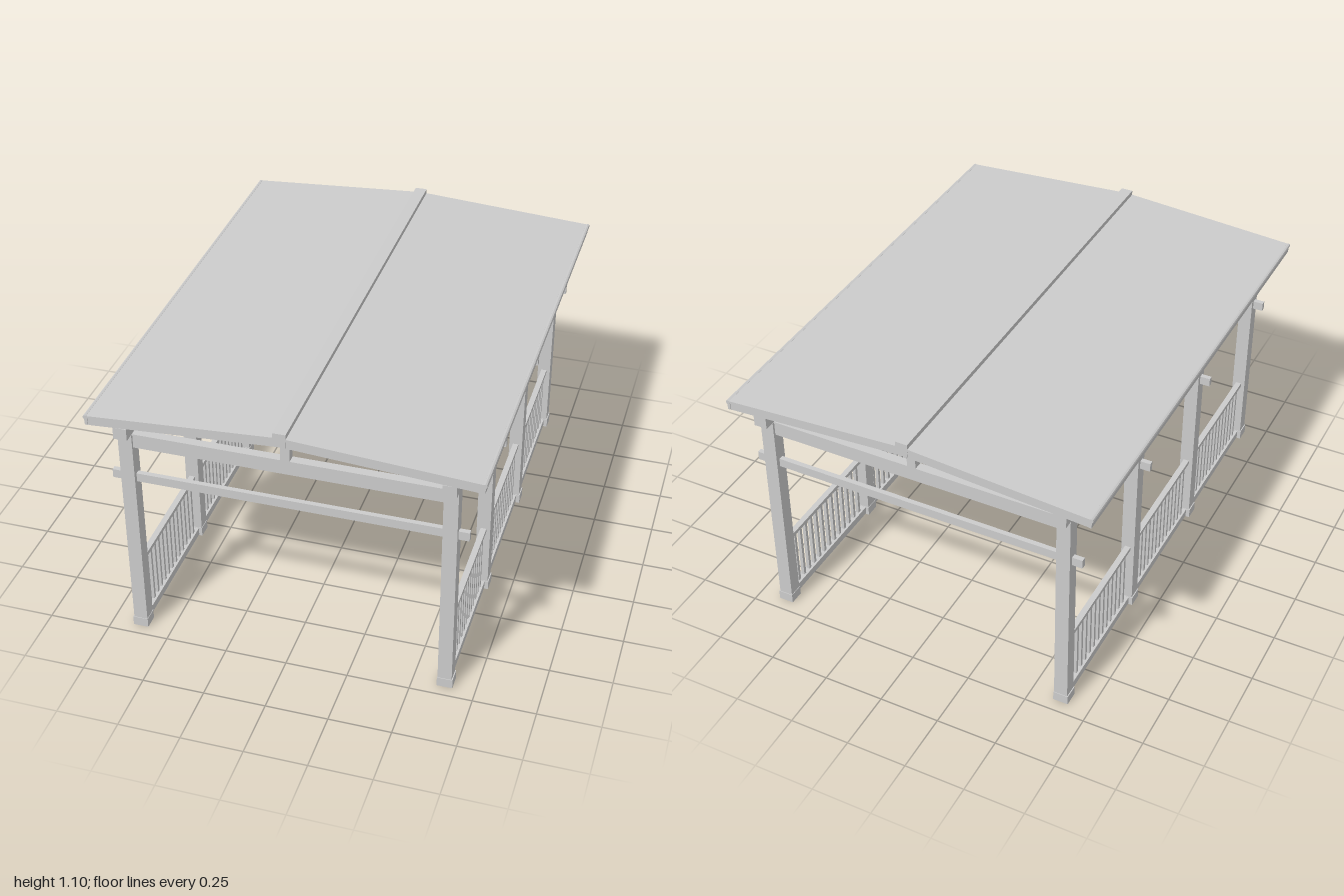
import * as THREE from 'three';

const material = new THREE.MeshStandardMaterial({ color: 0xcccccc, flatShading: true });

// Box given by its extents along each axis
function box(parent, name, [x0, x1], [y0, y1], [z0, z1]) {
  const mesh = new THREE.Mesh(new THREE.BoxGeometry(x1 - x0, y1 - y0, z1 - z0), material);
  mesh.position.set((x0 + x1) / 2, (y0 + y1) / 2, (z0 + z1) / 2);
  mesh.name = name;
  parent.add(mesh);
  return mesh;
}
const around = (c, size) => [c - size / 2, c + size / 2];

function group(parent, name) {
  const g = new THREE.Group();
  g.name = name;
  parent.add(g);
  return g;
}

const POST_X = 0.628, POST = 0.056;
const FRAME_Z = [0.924, 0.309, -0.305, -0.919];
const RAFTERS = 12, BALUSTERS = 13;

// One bay of railing between two posts
function buildRailing(parent, x, zFront, zBack) {
  const g = group(parent, 'railing');
  const z = [zBack + POST / 2, zFront - POST / 2];
  box(g, 'bottomRail', around(x, 0.032), [0.005, 0.038], z);
  box(g, 'topRail', around(x, 0.024), [0.293, 0.31], z);
  const step = (z[1] - z[0]) / (BALUSTERS + 1);
  for (let i = 1; i <= BALUSTERS; i++) {
    box(g, 'baluster', around(x, 0.014), [0.038, 0.293], around(z[0] + i * step, 0.014));
  }
}

// Cross frame: two posts, tie beam, lower through-beam and king post
function buildFrame(parent, z) {
  const g = group(parent, 'crossFrame');
  for (const s of [-1, 1]) {
    box(g, 'post', around(s * POST_X, POST), [0.01, 0.937], around(z, POST));
    box(g, 'postBase', around(s * (POST_X + 0.001), 0.062), [0, 0.04], around(z, 0.061));
  }
  box(g, 'tieBeam', [-0.605, 0.605], [0.877, 0.937], around(z, 0.036));
  box(g, 'throughBeam', [-0.698, 0.698], [0.714, 0.751], around(z, 0.02));
  box(g, 'kingPost', around(0, 0.036), [0.937, 1.045], around(z, 0.036));
}

// Roof slope running outward from the ridge
function buildSlope(parent, side) {
  const turn = group(parent, side > 0 ? 'leftRoofSlope' : 'rightRoofSlope');
  if (side < 0) turn.rotation.y = Math.PI;
  const slope = group(turn, 'slope');
  slope.position.y = 1.077;
  slope.rotation.z = -0.065;
  box(slope, 'roofPanel', [0, 0.762], [-0.011, 0], [-1, 1]);
  for (let i = 0; i < RAFTERS; i++) {
    const z = -0.982 + (1.964 * i) / (RAFTERS - 1);
    box(slope, 'rafter', [0.004, 0.752], [-0.041, -0.011], around(z, 0.03));
  }
  box(slope, 'eaveBoard', [0.752, 0.764], [-0.039, -0.002], [-1, 1]);
  // Rounded lip along the eave
  const lip = new THREE.Mesh(new THREE.CylinderGeometry(0.009, 0.009, 2, 8), material);
  lip.name = 'eaveLip';
  lip.rotation.x = Math.PI / 2;
  lip.position.set(0.76, -0.006, 0);
  slope.add(lip);
}

export function createModel() {
  const model = new THREE.Group();
  model.name = 'openPavilion';

  FRAME_Z.forEach((z) => buildFrame(model, z));

  for (const s of [-1, 1]) {
    // Wall plate carrying the rafters
    box(model, 'wallPlate', around(s * 0.629, 0.054), [0.937, 0.987], [-0.985, 0.988]);
    for (let i = 0; i < 3; i++) buildRailing(model, s * POST_X, FRAME_Z[i], FRAME_Z[i + 1]);
    buildSlope(model, s);
  }

  box(model, 'ridgeBeam', around(0, 0.05), [1.038, 1.095], [-1, 1]);
  return model;
}
